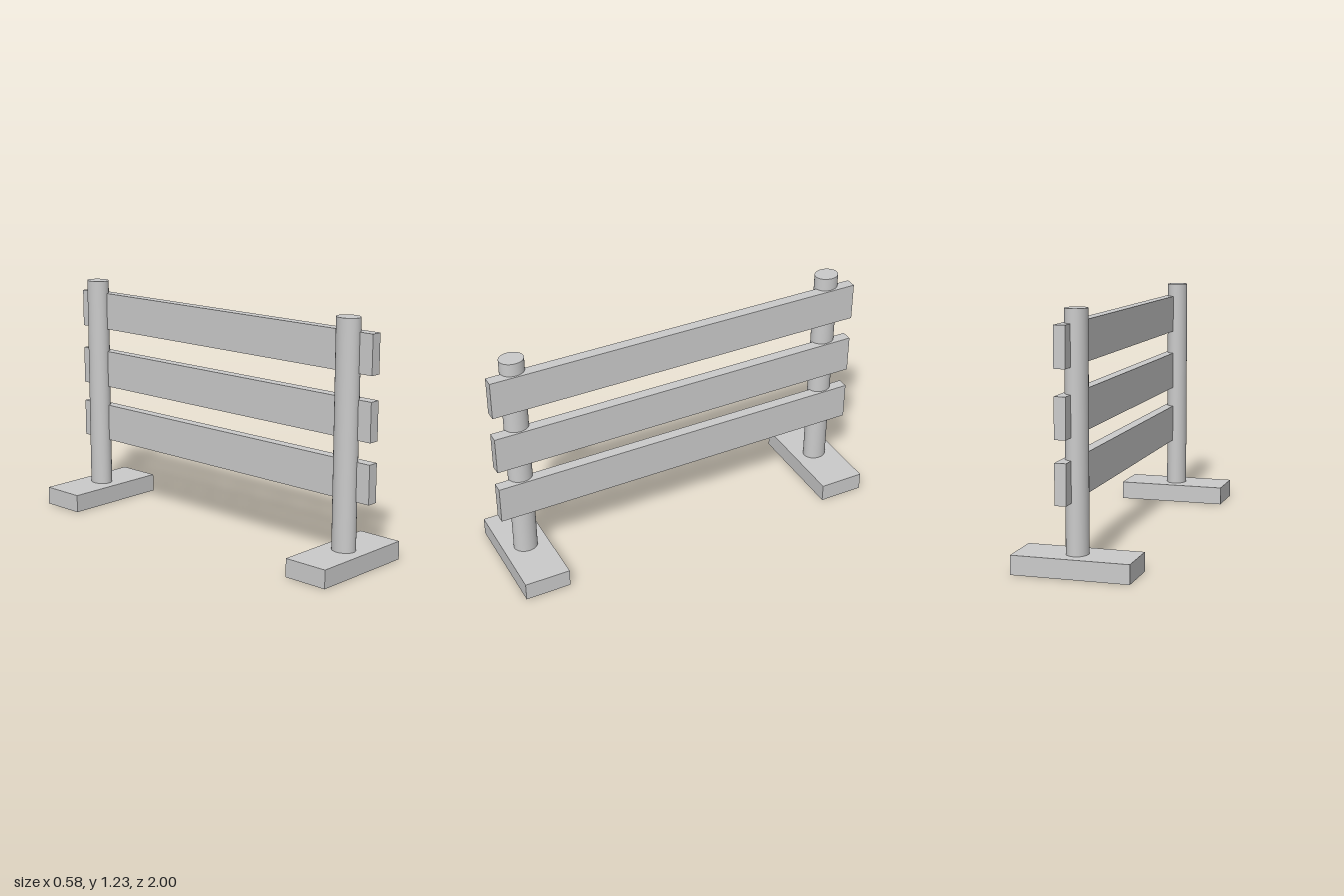
import * as THREE from 'three';

const material = new THREE.MeshStandardMaterial({ color: 0xcccccc });

function addMesh(parent, name, geometry, x, y, z) {
  const mesh = new THREE.Mesh(geometry, material);
  mesh.name = name;
  mesh.position.set(x, y, z);
  parent.add(mesh);
  return mesh;
}

export function createModel() {
  const group = new THREE.Group();
  group.name = 'railFence';

  // Two supports: a flat foot with a slightly oval post standing on it
  const baseHeight = 0.094, postTop = 1.231;
  const postHeight = postTop - baseHeight;
  const supports = [['front', 0.863], ['back', -0.868]];
  for (const [end, z] of supports) {
    addMesh(group, end + 'Foot', new THREE.BoxGeometry(0.577, baseHeight, 0.238),
      -0.0015, baseHeight / 2, z);
    const post = new THREE.CylinderGeometry(0.054, 0.054, postHeight, 32);
    post.scale(1, 1, 0.0625 / 0.054);
    addMesh(group, end + 'Post', post, -0.0015, baseHeight + postHeight / 2, z);
  }

  // Three long boards set into the left faces of the posts
  const boardCentres = [0.4415, 0.744, 1.065];
  boardCentres.forEach((y, i) => {
    addMesh(group, 'board' + (i + 1), new THREE.BoxGeometry(0.056, 0.197, 2), 0.034, y, 0);
  });

  return group;
}
